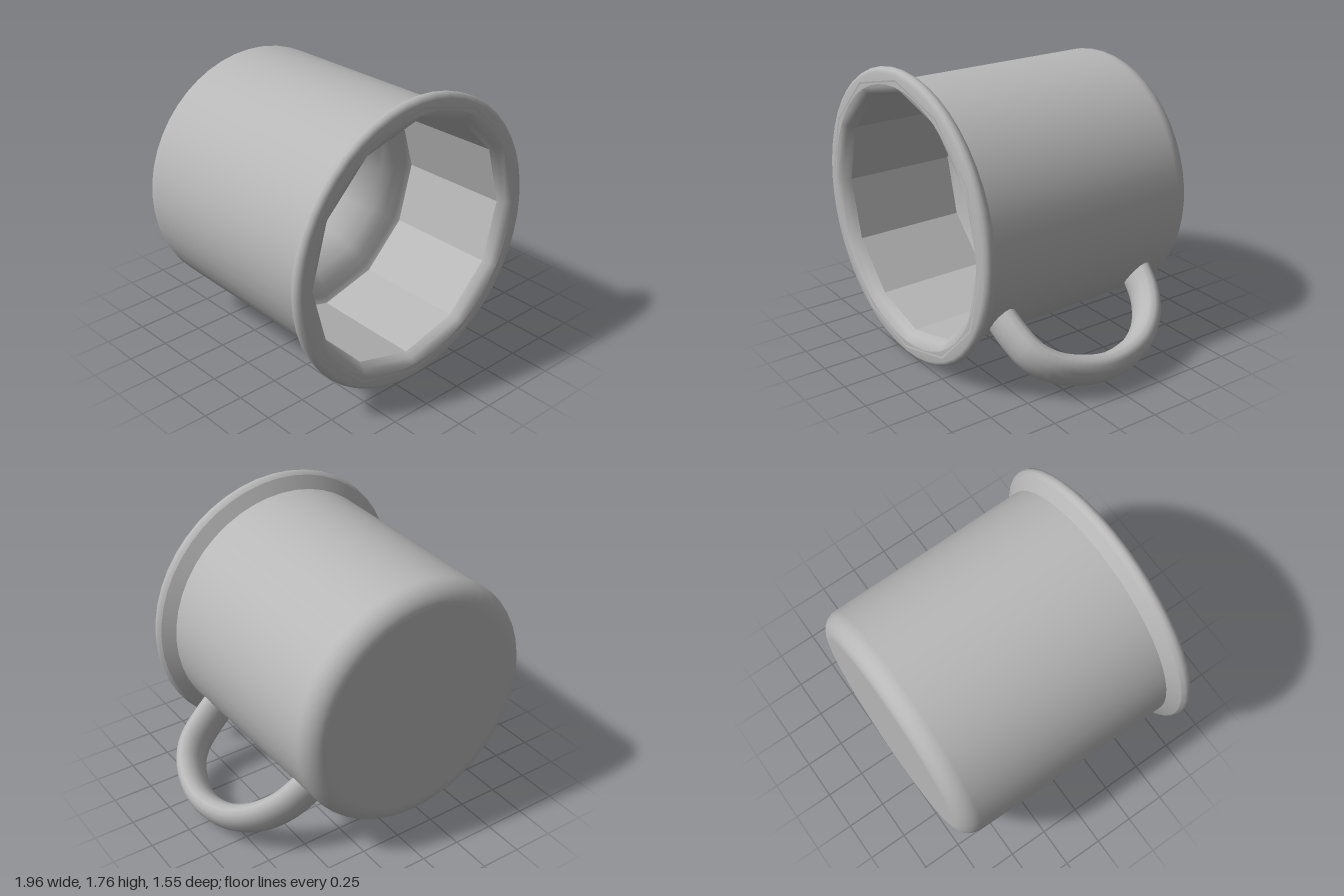
import * as THREE from 'three';

const enamel = new THREE.MeshStandardMaterial({ color: 0xb8b8b8 });
enamel.name = 'grey enamel';

// Turned part around the z axis; the profile is [radius, z], back to front for outer faces
function turned(name, profile, sides, faceted = false) {
  const points = profile.map(([r, z]) => new THREE.Vector2(r, z));
  let geometry = new THREE.LatheGeometry(points, sides).rotateX(Math.PI / 2);
  if (faceted) {
    geometry = geometry.toNonIndexed();
    geometry.computeVertexNormals();
  }
  const mesh = new THREE.Mesh(geometry, enamel);
  mesh.name = name;
  return mesh;
}

export function createModel() {
  const mug = new THREE.Group();
  mug.name = 'mug';

  // Outer shell with a rounded back edge
  const edge = [];
  for (let i = 0; i <= 8; i++) {
    const a = (i / 8) * Math.PI / 2;
    edge.push([0.65 + 0.12 * Math.sin(a), -0.655 - 0.12 * Math.cos(a)]);
  }
  mug.add(turned('base', [[0, -0.775], [0.65, -0.775]], 48));
  mug.add(turned('body', [...edge, [0.785, 0.66]], 48));

  // Flared lip: sloped collar and rolled outer edge
  mug.add(turned('lipCollar', [[0.78, 0.65], [0.862, 0.7]], 48));
  mug.add(turned('lipRoll', [
    [0.862, 0.7], [0.877, 0.72], [0.88, 0.74], [0.872, 0.76], [0.85, 0.773], [0.785, 0.774],
  ], 48));

  // Coarser inside: lip, straight wall, rounded shoulder and recessed floor
  mug.add(turned('innerLip', [[0.83, 0.775], [0.79, 0.77], [0.755, 0.745], [0.737, 0.7]], 12));
  mug.add(turned('innerWall', [[0.737, 0.7], [0.725, 0]], 12, true));
  const shoulder = [[0.725, 0]];
  for (let i = 0; i <= 6; i++) {
    const a = (i / 6) * Math.PI / 2;
    shoulder.push([0.38 + 0.31 * (1 - Math.sin(a)), -0.02 - 0.45 * (1 - Math.cos(a))]);
  }
  shoulder.push([0.375, -0.6]);
  mug.add(turned('innerShoulder', shoulder, 12));
  mug.add(turned('innerFloor', [[0.375, -0.6], [0, -0.6]], 12, true));

  // Handle: flattened tube bowed out from the body
  const path = [
    [0.73, 0.5], [0.9, 0.475], [1.04, 0.43], [1.15, 0.32], [1.235, 0.06],
    [1.19, -0.2], [1.07, -0.37], [0.91, -0.47], [0.73, -0.51],
  ].map(([r, z]) => new THREE.Vector3(r, 0, z));
  const tube = new THREE.TubeGeometry(new THREE.CatmullRomCurve3(path), 36, 0.075, 14);
  tube.scale(1, 1.65, 1);
  const handle = new THREE.Mesh(tube, enamel);
  handle.name = 'handle';
  handle.rotation.z = -0.65;
  mug.add(handle);

  mug.position.set(-0.12, 0.895, 0);
  const model = new THREE.Group();
  model.add(mug);
  return model;
}
